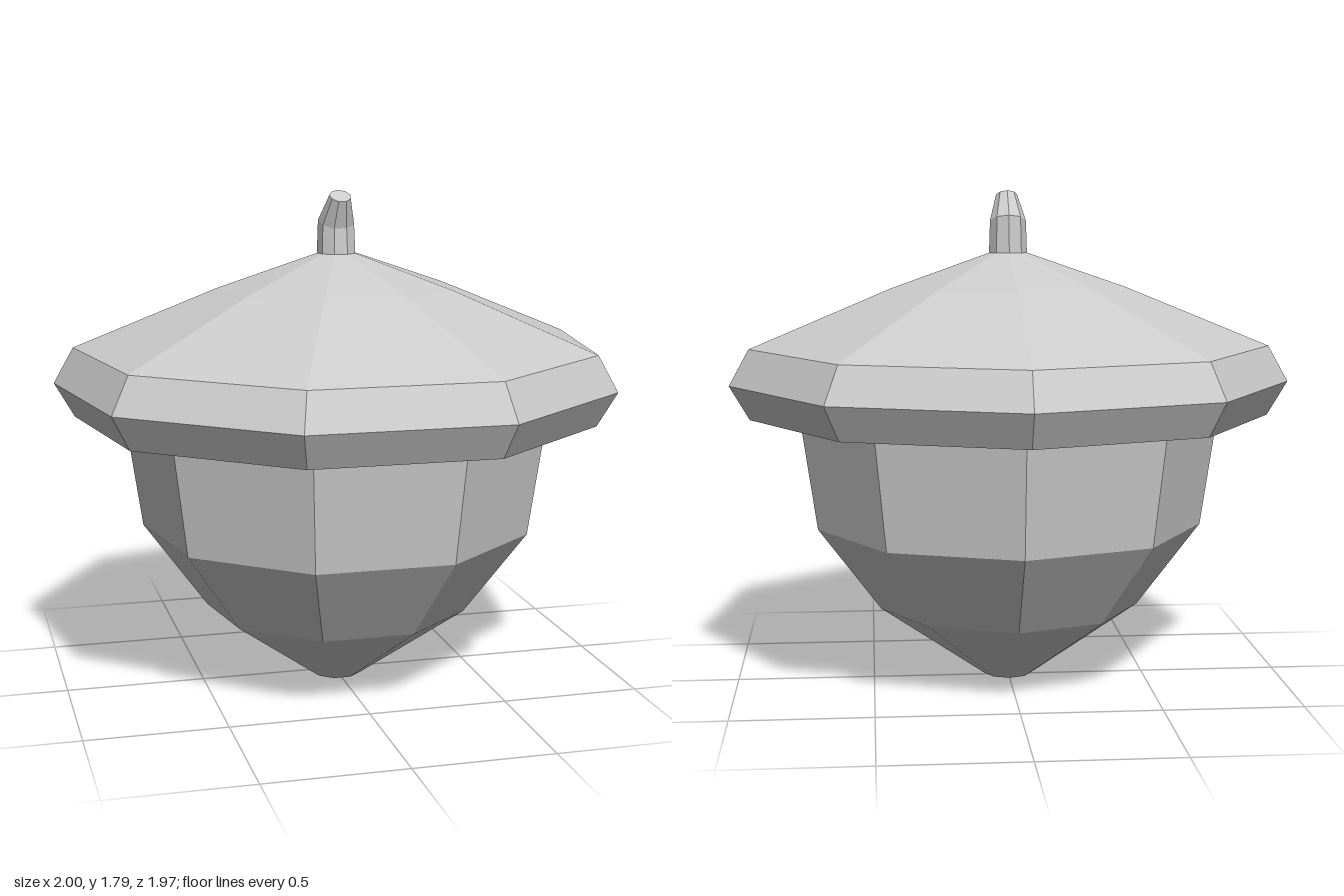
import * as THREE from 'three';

const SIDES = 9;
const CENTRE_Z = 0.03;

// Nine-sided faceted solid of revolution with one corner at the back
function turned(name, profile) {
  const points = profile.map(([r, y]) => new THREE.Vector2(r, y));
  const geometry = new THREE.LatheGeometry(points, SIDES, Math.PI);
  const material = new THREE.MeshStandardMaterial({ color: 0xcccccc, flatShading: true });
  const mesh = new THREE.Mesh(geometry, material);
  mesh.name = name;
  return mesh;
}

export function createModel() {
  const acorn = new THREE.Group();
  acorn.name = 'acorn';

  // Nut tapering to a small flat tip
  acorn.add(turned('nut', [[0, 0], [0.09, 0], [0.48, 0.272], [0.708, 0.578], [0.767, 0.985]]));

  // Cap with a flat underside, bevelled rim and shallow domed roof
  acorn.add(turned('cap', [
    [0, 0.985], [0.944, 0.985], [1.0154, 1.108], [0.944, 1.236],
    [0.43, 1.444], [0.07, 1.567], [0, 1.567],
  ]));

  // Stem: each ring is moved and tilted forward to bend it
  const rings = [
    { r: 0.07, y: 1.565, z: 0, tilt: 0 },
    { r: 0.066, y: 1.68, z: 0, tilt: 0.35 },
    { r: 0.039, y: 1.772, z: 0.055, tilt: 0.5 },
  ];
  const stem = turned('stem', [...rings.map((ring, i) => [ring.r, i]), [0, 2]]);
  const position = stem.geometry.attributes.position;
  const v = new THREE.Vector3();
  const xAxis = new THREE.Vector3(1, 0, 0);
  for (let i = 0; i < position.count; i++) {
    v.fromBufferAttribute(position, i);
    const ring = rings[Math.round(v.y)];
    v.setY(0).applyAxisAngle(xAxis, ring.tilt);
    position.setXYZ(i, v.x, v.y + ring.y, v.z + ring.z);
  }
  stem.geometry.computeVertexNormals();
  acorn.add(stem);

  for (const part of acorn.children) part.position.z = CENTRE_Z;
  return acorn;
}
